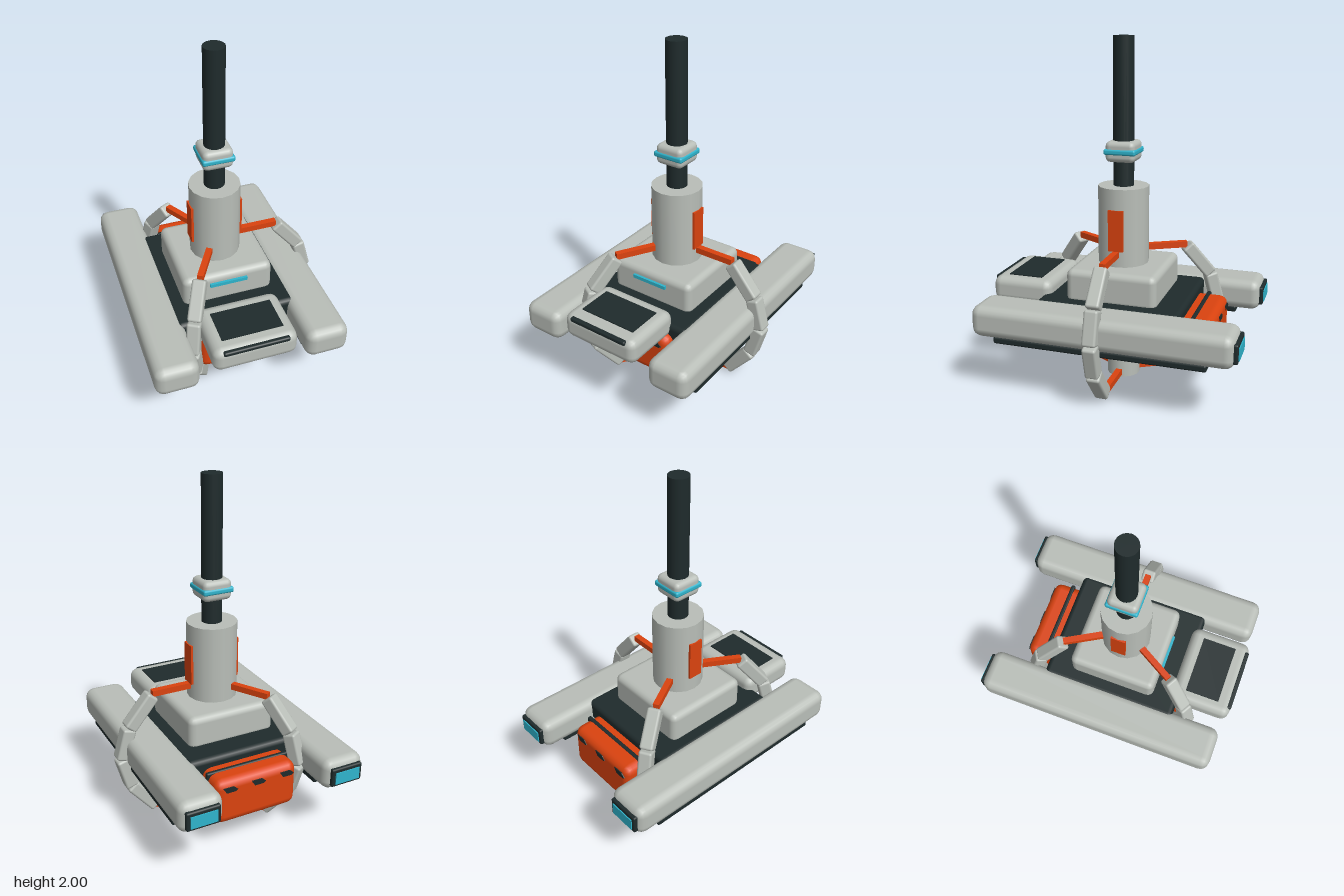
import * as THREE from 'three';
import { RoundedBoxGeometry } from 'three/addons/geometries/RoundedBoxGeometry.js';

const mat = (name, color) => {
  const m = new THREE.MeshStandardMaterial({ color });
  m.name = name;
  return m;
};

export function createModel() {
  const grey = mat('light grey', 0xb9beb8);
  const orange = mat('orange', 0xdb430f);
  const dark = mat('dark slate', 0x1f2b2c);
  const cyan = mat('cyan', 0x2fb4cc);

  const root = new THREE.Group();
  root.name = 'vehicle';
  const AX = -0.035, AZ = 0.02; // tower axis

  const add = (name, geo, material, parent = root) => {
    const m = new THREE.Mesh(geo, material);
    m.name = name;
    parent.add(m);
    return m;
  };
  // box given by its extents, with optional rounded edges
  const block = (name, material, [x0, x1], [y0, y1], [z0, z1], r = 0, parent = root) => {
    const w = x1 - x0, h = y1 - y0, d = z1 - z0;
    const geo = r ? new RoundedBoxGeometry(w, h, d, 2, Math.min(r, w / 2.05, h / 2.05, d / 2.05))
      : new THREE.BoxGeometry(w, h, d);
    const m = add(name, geo, material, parent);
    m.position.set((x0 + x1) / 2, (y0 + y1) / 2, (z0 + z1) / 2);
    return m;
  };
  const column = (name, material, r, y0, y1, sides) => {
    const m = add(name, new THREE.CylinderGeometry(r, r, y1 - y0, sides), material);
    m.position.set(AX, (y0 + y1) / 2, AZ);
    return m;
  };

  // Hull, deck and superstructure
  block('hull', orange, [-0.275, 0.235], [0.2, 0.475], [-0.57, 0.5], 0.05);
  block('hullRearBand', dark, [-0.28, 0.24], [0.41, 0.481], [-0.465, -0.438], 0.01);
  block('deck', dark, [-0.39, 0.32], [0.4, 0.53], [-0.4, 0.44], 0.03);
  block('upperHousing', grey, [-0.305, 0.235], [0.5, 0.705], [-0.25, 0.285], 0.04);
  block('housingLight', cyan, [-0.15, 0.075], [0.635, 0.656], [0.28, 0.3]);

  // Slanted hazard marks on the hull front, rear and underside
  const mark = new THREE.Shape([[-0.045, 0.016], [0.02, 0.016], [0.045, -0.006],
    [0.03, -0.016], [-0.025, -0.016]].map(([x, y]) => new THREE.Vector2(x, y)));
  const markGeo = new THREE.ExtrudeGeometry(mark, { depth: 0.006, bevelEnabled: false });
  for (const x of [-0.205, -0.025, 0.15]) {
    add('frontMark', markGeo, dark).position.set(x, 0.42, 0.497);
    const back = add('rearMark', markGeo, dark);
    back.position.set(x, 0.42, -0.567);
    back.rotation.y = Math.PI;
    const under = add('undersideMark', markGeo, dark);
    under.position.set(x, 0.203, -0.265);
    under.rotation.x = Math.PI / 2;
    under.scale.set(1.2, 1.9, 1);
  }

  // Front cabin
  const cabin = new THREE.Group();
  cabin.name = 'cabin';
  root.add(cabin);
  block('cabinBody', grey, [-0.28, 0.21], [0.45, 0.605], [0.39, 0.762], 0.05, cabin);
  block('roofPanel', dark, [-0.21, 0.145], [0.602, 0.611], [0.47, 0.677], 0, cabin);
  block('frontVisor', dark, [-0.225, 0.155], [0.57, 0.597], [0.735, 0.765], 0.01, cabin);

  // Side pods, mirrored about the tower axis
  for (const s of [-1, 1]) {
    const side = s > 0 ? 'left' : 'right';
    const span = (a, b) => [AX + s * a, AX + s * b].sort((p, q) => p - q);
    block(side + 'Pod', grey, span(0.31, 0.565), [0.35, 0.535], [-0.745, 0.748], 0.055);
    block(side + 'Skid', dark, span(0.335, 0.545), [0.322, 0.362], [-0.6, 0.615], 0.012);
    block(side + 'RearCap', dark, span(0.342, 0.538), [0.385, 0.495], [-0.76, -0.73], 0.01);
    block(side + 'RearLight', cyan, span(0.362, 0.518), [0.402, 0.472], [-0.766, -0.757]);
    block(side + 'Bracket', grey, span(0.26, 0.32), [0.355, 0.42], [-0.2, 0.22]);
    block(side + 'BracketLight', cyan, span(0.272, 0.308), [0.35, 0.357], [-0.1, 0.05]);
    for (const z of [0.11, -0.345])
      block(side + 'HullSeam', dark, span(0.268, 0.272), [0.24, 0.44], [z - 0.003, z + 0.003]);
    block(side + 'TowerPanel', orange, span(0.135, 0.153), [0.8, 1.04], [-0.022, 0.066]);
  }

  // Tower, mast and foot
  column('tower', grey, 0.148, 0.68, 1.16, 16);
  column('mast', dark, 0.06, 1.15, 2, 20);
  column('foot', grey, 0.097, 0, 0.22, 16);
  const square = (h) => [[AX - h, AX + h], [AZ - h, AZ + h]];
  const [cx, cz] = square(0.088), [bx, bz] = square(0.094);
  block('mastCollar', grey, cx, [1.3, 1.42], cz, 0.03);
  block('collarLight', cyan, bx, [1.343, 1.377], bz, 0.012);

  // Three curved arms around the axis, each of four links between two rods
  const path = [[0.385, 0.773], [0.535, 0.592], [0.587, 0.403], [0.535, 0.214], [0.385, 0.033]];
  for (let i = 0; i < 3; i++) {
    const arm = new THREE.Group();
    arm.name = 'arm' + (i + 1);
    arm.position.set(AX, 0, AZ);
    arm.rotation.y = i * Math.PI * 2 / 3;
    root.add(arm);
    block('upperRod', orange, [0.12, 0.385], [0.764, 0.8], [-0.018, 0.018], 0, arm);
    block('lowerRod', orange, [0.06, 0.385], [0.012, 0.048], [-0.018, 0.018], 0, arm);
    for (let k = 0; k < 4; k++) {
      const [r0, y0] = path[k], [r1, y1] = path[k + 1];
      const len = Math.hypot(r1 - r0, y1 - y0);
      const link = add('armLink', new RoundedBoxGeometry(0.078, len, 0.08, 2, 0.014), grey, arm);
      link.position.set((r0 + r1) / 2, (y0 + y1) / 2, 0);
      link.rotation.z = Math.atan2(r1 - r0, y0 - y1);
    }
  }
  return root;
}
